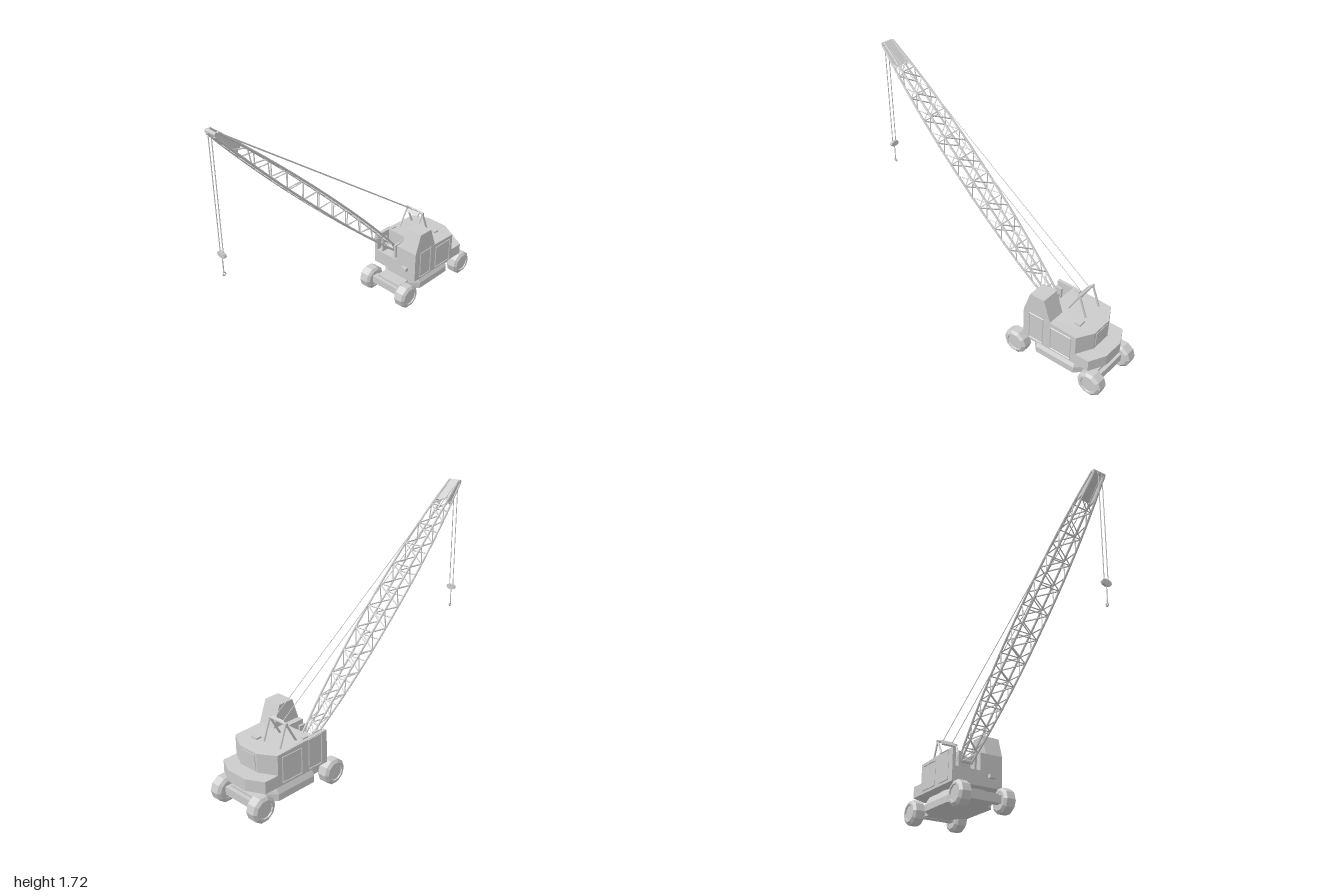
import * as THREE from 'three';

const mat = new THREE.MeshStandardMaterial({ color: 0xcccccc, flatShading: true, side: THREE.DoubleSide });
const V = (x, y, z) => new THREE.Vector3(x, y, z);
const ZC = -0.07; // boom centre plane

function add(parent, name, geo, x = 0, y = 0, z = 0) {
  const m = new THREE.Mesh(geo, mat);
  m.name = name;
  m.position.set(x, y, z);
  parent.add(m);
  return m;
}

// box given by its limits
function block(parent, name, x0, x1, y0, y1, z0, z1) {
  return add(parent, name, new THREE.BoxGeometry(x1 - x0, y1 - y0, z1 - z0),
    (x0 + x1) / 2, (y0 + y1) / 2, (z0 + z1) / 2);
}

// bar between two points
function bar(parent, name, a, b, r, sides = 4) {
  const d = b.clone().sub(a);
  const m = add(parent, name, new THREE.CylinderGeometry(r, r, d.length(), sides));
  m.position.copy(a).addScaledVector(d, 0.5);
  m.quaternion.setFromUnitVectors(V(0, 1, 0), d.normalize());
  return m;
}

// plan outline of [x, z] points raised from y0 to y1
function planGeo(points, y0, y1) {
  const shape = new THREE.Shape(points.map(([x, z]) => new THREE.Vector2(x, -z)));
  return new THREE.ExtrudeGeometry(shape, { depth: y1 - y0, bevelEnabled: false })
    .rotateX(-Math.PI / 2).translate(0, y0, 0);
}

function createWheels(root) {
  const tyre = [[0.05, 0.036], [0.054, 0.045], [0.066, 0.045], [0.085, 0.03],
    [0.085, -0.03], [0.066, -0.045], [0.05, -0.045]].map(([r, y]) => new THREE.Vector2(r, y));
  for (const x of [0.33, 0.91]) {
    block(root, 'axle', x - 0.025, x + 0.025, 0.062, 0.115, -0.14, 0.14);
    for (const s of [-1, 1]) {
      const wheel = new THREE.Group();
      wheel.name = 'wheel';
      wheel.position.set(x, 0.085, s * 0.163);
      wheel.rotation.x = s * Math.PI / 2;
      add(wheel, 'tyre', new THREE.LatheGeometry(tyre, 10)).rotation.y = Math.PI / 10;
      add(wheel, 'rim', new THREE.CylinderGeometry(0.051, 0.051, 0.074, 20));
      root.add(wheel);
    }
  }
}

function createChassis(root) {
  // main frame with pontoons bulging between the wheels
  block(root, 'frame', 0.33, 0.91, 0.066, 0.13, -0.1, 0.1);
  const plan = (w, e) => [[0.42 - e, 0.1], [0.48, w], [0.77, w], [0.83 + e, 0.1],
    [0.83 + e, -0.1], [0.77, -w], [0.48, -w], [0.42 - e, -0.1]];
  add(root, 'pontoon', planGeo(plan(0.165, 0), 0.066, 0.11));
  const upper = planGeo(plan(0.165, 0), 0.11, 0.165);
  const p = upper.attributes.position;
  for (let i = 0; i < p.count; i++) if (p.getY(i) > 0.15) p.setZ(i, p.getZ(i) * 0.8);
  upper.computeVertexNormals();
  add(root, 'pontoonShoulder', upper);
  add(root, 'turntable', new THREE.CylinderGeometry(0.12, 0.12, 0.03, 20), 0.62, 0.17, 0);
}

// raised frame around a thin panel on a side wall
function panel(parent, name, x0, x1, y0, y1, s) {
  const z = s * 0.192;
  block(parent, name, x0, x1, y0, y1, Math.min(z, z - s * 0.004), Math.max(z, z - s * 0.004));
  const pts = [V(x0, y0, z), V(x1, y0, z), V(x1, y1, z), V(x0, y1, z)];
  pts.forEach((a, i) => bar(parent, name + 'Frame', a, pts[(i + 1) % 4], 0.004));
}

function createHouse(root) {
  const house = new THREE.Group();
  house.name = 'house';
  root.add(house);
  const rear = [[0.79, 0.188], [0.85, 0.075], [0.85, -0.075], [0.79, -0.188]];
  add(house, 'lowerBody', planGeo([[0.39, 0.188], ...rear, [0.39, -0.188]], 0.178, 0.28));
  // upper body with the boom well cut in its front, roof falling to the rear
  const upper = planGeo([[0.39, 0.188], ...rear, [0.39, -0.188], [0.39, -0.165],
    [0.51, -0.165], [0.51, 0.02], [0.39, 0.02]], 0.28, 0.4);
  const p = upper.attributes.position;
  for (let i = 0; i < p.count; i++) {
    if (p.getY(i) > 0.35) p.setY(i, 0.4 - Math.max(0, p.getX(i) - 0.6) * 0.08);
  }
  upper.computeVertexNormals();
  add(house, 'upperBody', upper);
  add(house, 'counterweight', planGeo([[0.78, 0.188], [0.89, 0.188], [0.947, 0.075],
    [0.947, -0.075], [0.89, -0.188], [0.78, -0.188]], 0.178, 0.256));
  block(house, 'rearHatch', 0.848, 0.854, 0.272, 0.365, -0.06, 0.06);
  for (const s of [-1, 1]) {
    panel(house, 'door', 0.44, 0.545, 0.197, 0.393, s);
    panel(house, 'sidePanel', 0.605, 0.757, 0.197, 0.363, s);
  }
  // operator cabin
  const side = new THREE.Shape([[0.39, 0.395], [0.595, 0.395], [0.543, 0.538], [0.437, 0.538]]
    .map(([x, y]) => new THREE.Vector2(x, y)));
  add(house, 'cabin', new THREE.ExtrudeGeometry(side, { depth: 0.128, bevelEnabled: false }), 0, 0, 0.06);
  block(house, 'frontStep', 0.365, 0.392, 0.238, 0.265, 0.08, 0.125);
  block(house, 'roofVent', 0.71, 0.75, 0.385, 0.398, 0.04, 0.09);
  block(house, 'roofHatch', 0.53, 0.57, 0.395, 0.405, -0.17, -0.15);
  for (const z of [ZC - 0.06, ZC + 0.06]) block(house, 'boomBracket', 0.4, 0.45, 0.28, 0.385, z - 0.008, z + 0.008);
}

function createGantry(root) {
  const g = new THREE.Group();
  g.name = 'gantry';
  root.add(g);
  for (const s of [-1, 1]) {
    const z = ZC + s * 0.07;
    bar(g, 'gantryFrontLeg', V(0.6, 0.395, z), V(0.675, 0.528, z), 0.007, 6);
    bar(g, 'gantryRearLeg', V(0.73, 0.38, z), V(0.675, 0.528, z), 0.007, 6);
    bar(g, 'suspensionCable', V(0.672, 0.53, ZC + s * 0.036), V(-0.965, 1.71, ZC + s * 0.03), 0.0025, 5);
  }
  bar(g, 'gantryTopBar', V(0.675, 0.528, ZC - 0.078), V(0.675, 0.528, ZC + 0.078), 0.009, 8);
  const plate = block(g, 'gantryPlate', 0.64, 0.682, 0.515, 0.527, ZC - 0.05, ZC + 0.05);
  plate.rotation.z = 0.9;
}

function createBoom(root) {
  const g = new THREE.Group();
  g.name = 'boom';
  root.add(g);
  const foot = V(0.43, 0.335, ZC), tip = V(-0.975, 1.705, ZC);
  const dir = tip.clone().sub(foot);
  const up = V(-dir.y, dir.x, 0).normalize().negate(); // across the boom, upward
  // point at fraction t, on the top/bottom (u) and side (s)
  const at = (t, u, s) => {
    const bulge = 1 - Math.pow(Math.abs(2 * t - 1), 2.2);
    const h = 0.014 + 0.034 * bulge;
    const w = 0.036 + 0.036 * bulge + 0.01 * Math.max(0, 0.3 - t);
    return foot.clone().addScaledVector(dir, t).addScaledVector(up, u * h).add(V(0, 0, s * w));
  };
  const N = 22, end = 0.93;
  for (let i = 0; i < N; i++) {
    const a = end * i / N, b = end * (i + 1) / N, k = i % 2 ? 1 : -1;
    for (const s of [-1, 1]) {
      for (const u of [-1, 1]) bar(g, 'chord', at(a, u, s), at(b, u, s), 0.0075, 6);
      bar(g, 'sideLacing', at(a, k, s), at(b, -k, s), 0.0045);
      bar(g, 'faceLacing', at(a, s, k), at(b, s, -k), 0.0045);
      if (i % 2) bar(g, 'crossTie', at(a, s, -1), at(a, s, 1), 0.0045);
    }
  }
  // plated head, tapering to the sheave pin
  for (const u of [-1, 1]) {
    const c = [at(0.91, u, -1), at(0.91, u, 1), at(1, u, 1), at(1, u, -1)];
    const geo = new THREE.BufferGeometry().setFromPoints([c[0], c[1], c[2], c[0], c[2], c[3]]);
    geo.computeVertexNormals();
    if (u > 0) add(g, 'headPlate', geo);
    for (const s of [-1, 1]) bar(g, 'headRail', at(0.91, u, s), at(1, u, s), 0.008, 6);
  }
  for (const s of [-1, 1]) {
    const c = [at(0.91, -1, s), at(0.91, 1, s), at(1, 1, s), at(1, -1, s)];
    const geo = new THREE.BufferGeometry().setFromPoints([c[0], c[1], c[2], c[0], c[2], c[3]]);
    geo.computeVertexNormals();
    add(g, 'headCheek', geo);
  }
  bar(g, 'headPin', V(-0.978, 1.705, ZC - 0.042), V(-0.978, 1.705, ZC + 0.042), 0.012, 10);
  bar(g, 'footPin', V(0.43, 0.335, ZC - 0.07), V(0.43, 0.335, ZC + 0.07), 0.014, 10);
}

function createHoist(root) {
  const g = new THREE.Group();
  g.name = 'hoist';
  root.add(g);
  const x = -0.99;
  for (const s of [-1, 1]) {
    bar(g, 'hoistCable', V(x, 1.705, ZC + s * 0.014), V(x, 0.97, ZC + s * 0.014), 0.003, 5);
  }
  const hookBlock = add(g, 'hookBlock', new THREE.CylinderGeometry(0.02, 0.02, 0.018, 10), x, 0.96, ZC);
  hookBlock.rotation.z = Math.PI / 2;
  hookBlock.scale.z = 1.7;
  bar(g, 'hookRod', V(x, 0.94, ZC), V(x, 0.836, ZC), 0.0035, 6);
  add(g, 'hook', new THREE.TorusGeometry(0.009, 0.004, 6, 12, Math.PI * 1.6), x + 0.003, 0.826, ZC).rotation.z = Math.PI * 0.75;
}

export function createModel() {
  const root = new THREE.Group();
  root.name = 'mobileCrane';
  createWheels(root);
  createChassis(root);
  createHouse(root);
  createGantry(root);
  createBoom(root);
  createHoist(root);
  return root;
}
